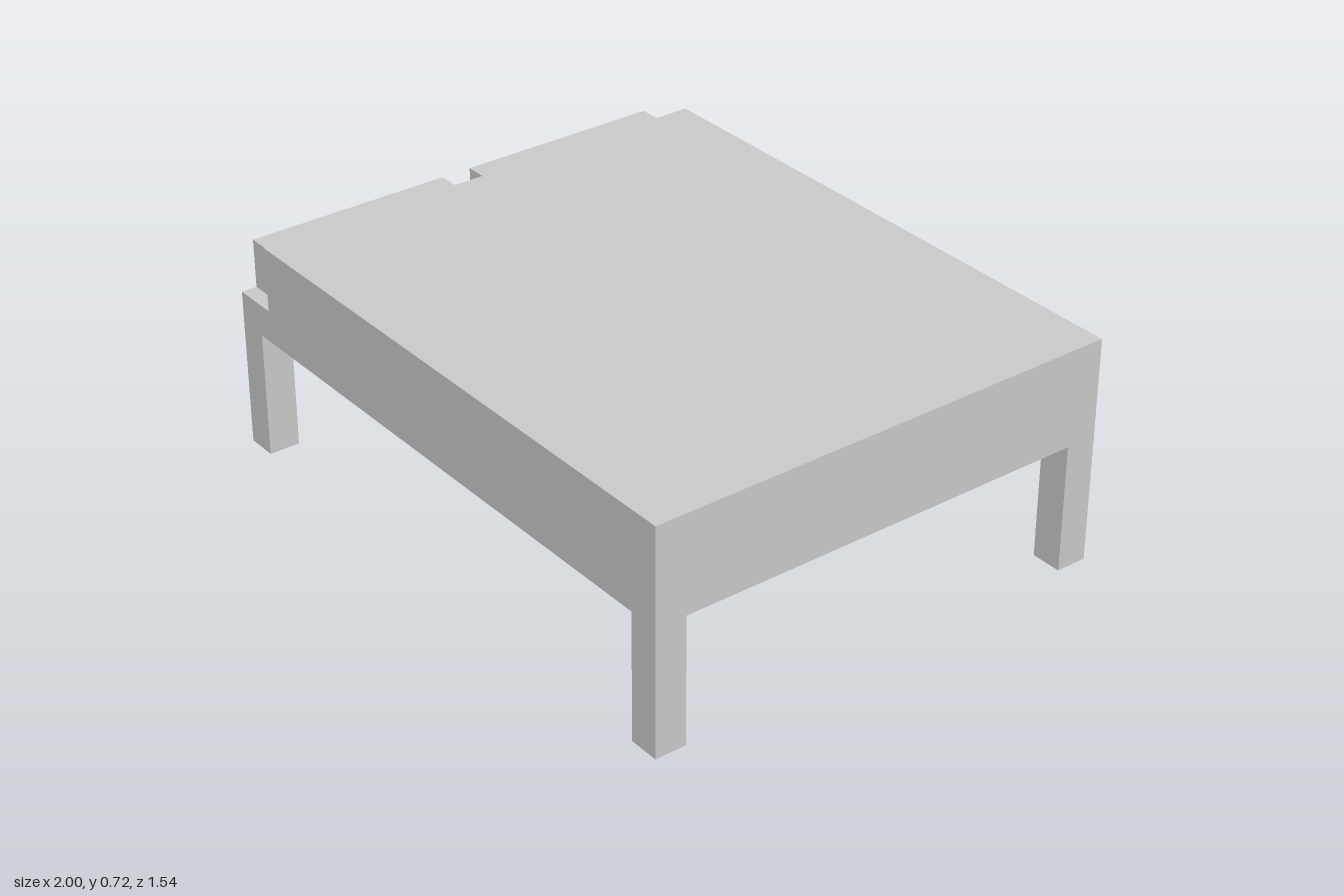
import * as THREE from 'three';

const material = new THREE.MeshStandardMaterial({ color: 0xcccccc, flatShading: true });

// Box given by its minimum and maximum corners
function box(name, [x0, y0, z0], [x1, y1, z1]) {
  const mesh = new THREE.Mesh(new THREE.BoxGeometry(x1 - x0, y1 - y0, z1 - z0), material);
  mesh.position.set((x0 + x1) / 2, (y0 + y1) / 2, (z0 + z1) / 2);
  mesh.name = name;
  return mesh;
}

export function createModel() {
  const model = new THREE.Group();
  model.name = 'slattedPlatform';

  const halfX = 1, halfZ = 0.77, rail = 0.1;
  const bottom = 0.41, deck = 0.513, top = 0.72;
  const innerX = halfX - rail, innerZ = halfZ - rail;

  // Rectangular frame with an open centre, extruded upwards
  const outline = new THREE.Shape([
    new THREE.Vector2(-halfX, -halfZ), new THREE.Vector2(halfX, -halfZ),
    new THREE.Vector2(halfX, halfZ), new THREE.Vector2(-halfX, halfZ),
  ]);
  outline.holes.push(new THREE.Path([
    new THREE.Vector2(-innerX, -innerZ), new THREE.Vector2(-innerX, innerZ),
    new THREE.Vector2(innerX, innerZ), new THREE.Vector2(innerX, -innerZ),
  ]));
  const frameGeometry = new THREE.ExtrudeGeometry(outline, { depth: deck - bottom, bevelEnabled: false });
  frameGeometry.rotateX(-Math.PI / 2).translate(0, bottom, 0);
  const frame = new THREE.Mesh(frameGeometry, material);
  frame.name = 'frame';
  model.add(frame);

  // Corner legs
  const legs = new THREE.Group();
  legs.name = 'legs';
  for (const sx of [-1, 1]) {
    for (const sz of [-1, 1]) {
      const leg = box((sz > 0 ? 'front' : 'back') + (sx > 0 ? 'Left' : 'Right') + 'Leg',
        [-rail / 2, 0, -rail / 2], [rail / 2, bottom, rail / 2]);
      leg.position.x = sx * (halfX - rail / 2);
      leg.position.z = sz * (halfZ - rail / 2);
      legs.add(leg);
    }
  }
  model.add(legs);

  // Evenly spaced slats across the frame
  const slats = new THREE.Group();
  slats.name = 'slats';
  const slatCount = 15, slatWidth = 0.05;
  for (let i = 1; i <= slatCount; i++) {
    const x = -innerX + (i * 2 * innerX) / (slatCount + 1);
    slats.add(box('slat', [x - slatWidth / 2, bottom, -innerZ], [x + slatWidth / 2, deck, innerZ]));
  }
  model.add(slats);

  // Main cushion, leaving a ledge along one end
  model.add(box('cushion', [-0.85, deck, -halfZ], [halfX, top, halfZ]));

  // Two bolsters resting on the ledge with a gap between them
  model.add(box('frontBolster', [-halfX, deck, 0.05], [-0.85, 0.67, 0.72]));
  model.add(box('backBolster', [-halfX, deck, -0.72], [-0.85, 0.67, -0.05]));

  return model;
}
